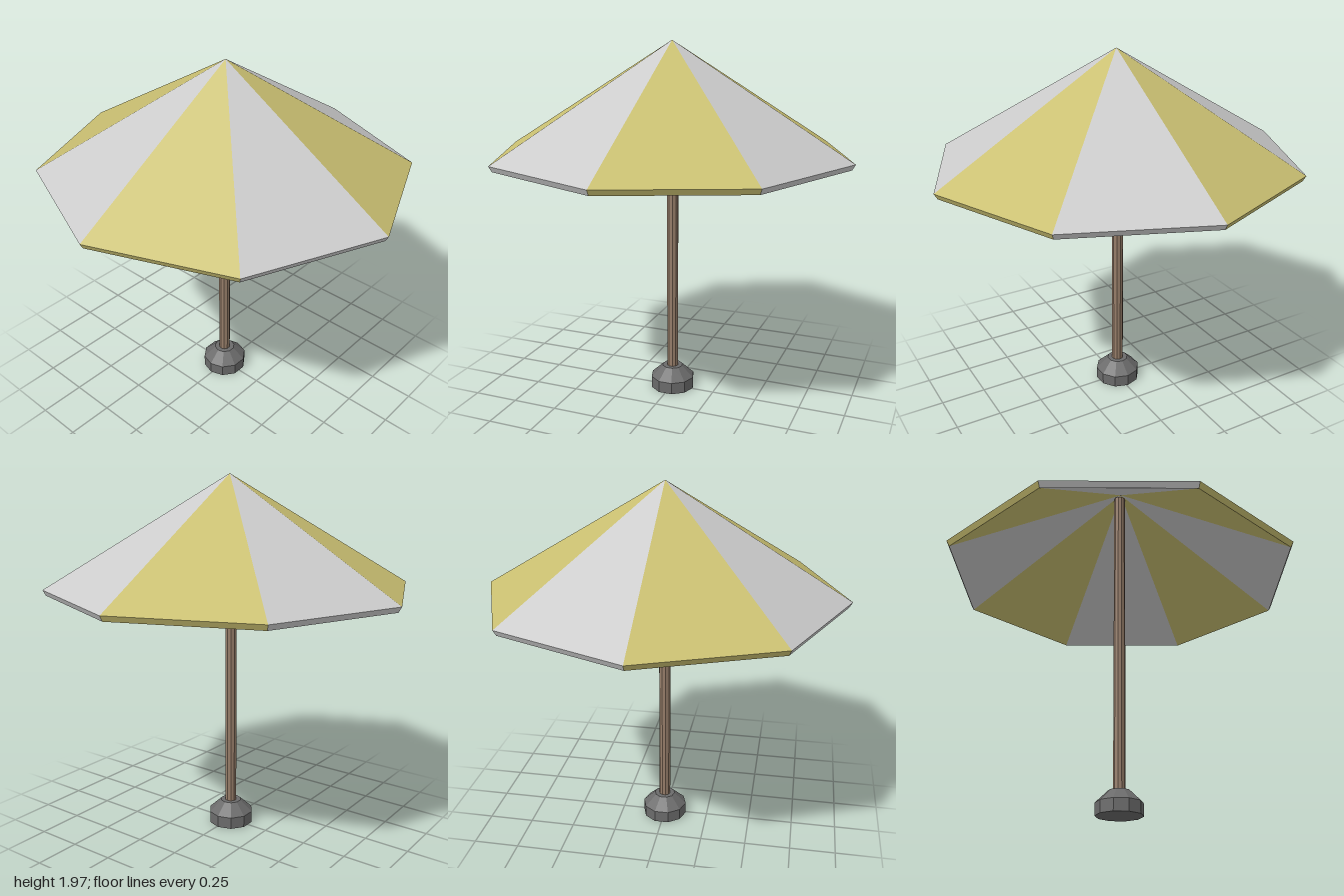
import * as THREE from 'three';

const material = (color) => new THREE.MeshStandardMaterial({ color, flatShading: true });

function addMesh(parent, name, geometry, mat) {
  const mesh = new THREE.Mesh(geometry, mat);
  mesh.name = name;
  parent.add(mesh);
  return mesh;
}

// One wedge of the canopy: sloped top, narrow lip, sloped underside
function wedgeGeometry(a0, a1) {
  const rim = (a, r, y) => [Math.sin(a) * r * 0.98, y, Math.cos(a) * r];
  const apex = [0, 1.968, 0], innerApex = [0, 1.935, 0];
  const t0 = rim(a0, 1, 1.376), t1 = rim(a1, 1, 1.376);
  const b0 = rim(a0, 0.983, 1.346), b1 = rim(a1, 0.983, 1.346);
  const corners = [apex, t0, t1, t0, b0, b1, t0, b1, t1, innerApex, b1, b0];
  const geometry = new THREE.BufferGeometry();
  geometry.setAttribute('position', new THREE.Float32BufferAttribute(corners.flat(), 3));
  geometry.computeVertexNormals();
  return geometry;
}

export function createModel() {
  const model = new THREE.Group();
  model.name = 'parasol';
  const yellow = material(0xc9bf71);
  const grey = material(0xcccccc);
  const wood = material(0x967d69);
  const stone = material(0x6b6b6b);

  // Canopy of eight wedges in alternating colours
  const canopy = new THREE.Group();
  canopy.name = 'canopy';
  model.add(canopy);
  for (let i = 0; i < 8; i++) {
    const a = (i * Math.PI) / 4;
    addMesh(canopy, `canopyPanel${i + 1}`, wedgeGeometry(a, a + Math.PI / 4), i % 2 ? grey : yellow);
  }

  // Ten-sided pole and foot, slightly behind the canopy's centre
  const stand = new THREE.Group();
  stand.name = 'stand';
  stand.position.z = -0.008;
  stand.rotation.y = Math.PI / 2;
  model.add(stand);

  const pole = addMesh(stand, 'pole', new THREE.CylinderGeometry(0.032, 0.032, 1.8, 10), wood);
  pole.position.y = 1.0;

  const footProfile = [[0, 0], [0.125, 0], [0.125, 0.066], [0.058, 0.129], [0, 0.129]]
    .map(([x, y]) => new THREE.Vector2(x, y));
  addMesh(stand, 'foot', new THREE.LatheGeometry(footProfile, 10), stone);

  return model;
}
